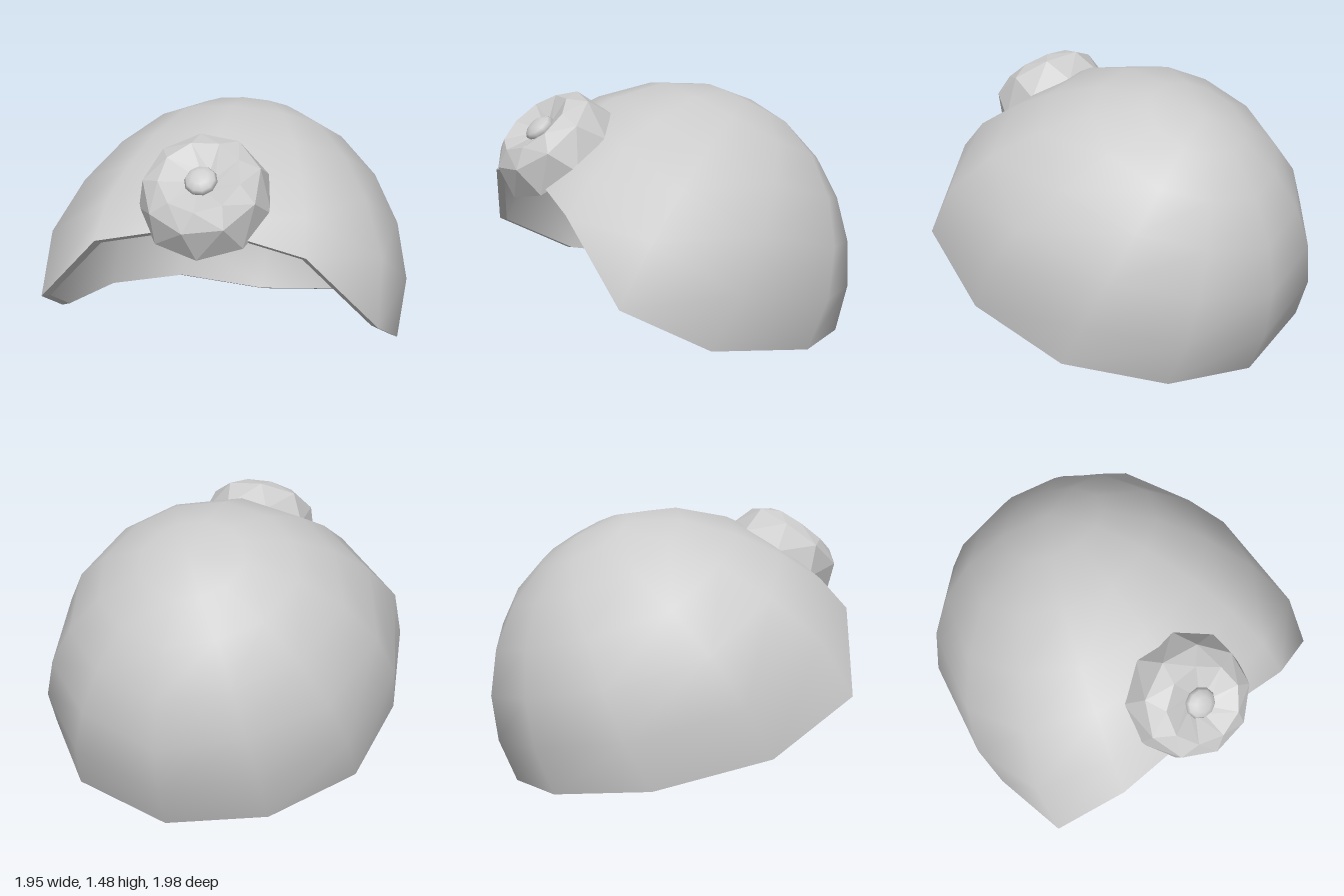
import * as THREE from 'three';

const COLS = 12, RINGS = 6;
const CENTER = new THREE.Vector3(0, 0.48, 0);
const SCALE = new THREE.Vector3(0.95, 1, 1);
const POLE = new THREE.Vector3(0, 0.86, -0.5).normalize();

// Rim of the left half, from the middle of the back to the middle of the front
const RIM = [
  [0, 0, -0.87], [0.53, 0.09, -0.77], [0.88, 0.18, -0.35], [0.95, 0.31, 0.26],
  [0.88, 0.58, 0.72], [0.53, 0.97, 0.84], [0, 1.09, 0.83],
];
// How much of the rim's flare each ring takes, and its extra shift at the brow
const FLARE = [0, 0, 0, 0.05, 0.3, 0.75, 1];
const SHIFT = [0, 0.03, 0.06, 0.1, 0.09, 0.06, 0];
const BROW = [0, 0, 0, 0, 0, 0.7, 1];

const grey = (opts = {}) => new THREE.MeshStandardMaterial({ color: 0xcccccc, ...opts });

function addMesh(parent, name, geometry, material) {
  const mesh = new THREE.Mesh(geometry, material);
  mesh.name = name;
  parent.add(mesh);
  return mesh;
}

// Point of the dome: ring 0 is the pole, ring 6 the rim
function domePoint(ring, col, size) {
  const k = col <= 6 ? col : COLS - col;
  const dir = new THREE.Vector3(...RIM[k]).sub(CENTER).divide(SCALE);
  const rimRadius = dir.length();
  dir.normalize();
  const angle = POLE.angleTo(dir);
  const t = ring / RINGS + SHIFT[ring] * BROW[k];
  const p = POLE.clone().multiplyScalar(Math.sin((1 - t) * angle))
    .addScaledVector(dir, Math.sin(t * angle))
    .divideScalar(Math.sin(angle));
  p.multiplyScalar((1 + (rimRadius - 1) * FLARE[ring]) * size).multiply(SCALE).add(CENTER);
  if (col > 6) p.x *= -1;
  return p;
}

function build(points, index) {
  const g = new THREE.BufferGeometry().setFromPoints(points);
  g.setIndex(index);
  g.computeVertexNormals();
  return g;
}

function domeGeometry(size, inward) {
  const points = [domePoint(0, 0, size)], index = [];
  for (let i = 1; i <= RINGS; i++)
    for (let j = 0; j < COLS; j++) points.push(domePoint(i, j, size));
  const at = (i, j) => (i === 0 ? 0 : 1 + (i - 1) * COLS + (j % COLS));
  const tri = (a, b, c) => (inward ? index.push(a, c, b) : index.push(a, b, c));
  for (let i = 0; i < RINGS; i++)
    for (let j = 0; j < COLS; j++) {
      tri(at(i, j), at(i + 1, j + 1), at(i + 1, j));
      if (i > 0) tri(at(i, j), at(i, j + 1), at(i + 1, j + 1));
    }
  return build(points, index);
}

// Flat band joining the outer and inner domes
function rimGeometry(inner) {
  const points = [], index = [];
  for (let j = 0; j < COLS; j++)
    points.push(domePoint(RINGS, j, 1), domePoint(RINGS, j, inner));
  for (let j = 0; j < COLS; j++) {
    const a = 2 * j, b = 2 * ((j + 1) % COLS);
    index.push(a, b, a + 1, b, b + 1, a + 1);
  }
  return build(points, index);
}

// Low-poly rosette with a twist that grows with height
function rosetteGeometry() {
  const profile = [[0, -0.03], [0.24, -0.03], [0.34, 0.01], [0.295, 0.17], [0.205, 0.23], [0.07, 0.18], [0, 0.18]];
  const g = new THREE.LatheGeometry(profile.map(([r, y]) => new THREE.Vector2(r, y)), 9);
  const pos = g.attributes.position, v = new THREE.Vector3(), up = new THREE.Vector3(0, 1, 0);
  for (let i = 0; i < pos.count; i++) {
    v.fromBufferAttribute(pos, i).applyAxisAngle(up, v.y * 3.2);
    pos.setXYZ(i, v.x, v.y, v.z);
  }
  g.computeVertexNormals();
  return g;
}

export function createModel() {
  const model = new THREE.Group();
  model.name = 'cap';

  // Thick open shell
  const inner = 0.958;
  const shell = new THREE.Group();
  shell.name = 'shell';
  addMesh(shell, 'outerDome', domeGeometry(1, false), grey());
  addMesh(shell, 'innerDome', domeGeometry(inner, true), grey());
  addMesh(shell, 'rim', rimGeometry(inner), grey({ flatShading: true }));
  model.add(shell);

  // Rosette on the brow, tilted forward
  const rosette = new THREE.Group();
  rosette.name = 'rosette';
  addMesh(rosette, 'petals', rosetteGeometry(), grey({ flatShading: true, side: THREE.DoubleSide }));
  const knob = addMesh(rosette, 'knob', new THREE.SphereGeometry(0.083, 10, 6), grey());
  knob.scale.y = 0.5;
  knob.position.y = 0.19;
  rosette.position.set(0, 1.15, 0.65);
  rosette.rotation.x = 0.67;
  model.add(rosette);

  return model;
}
